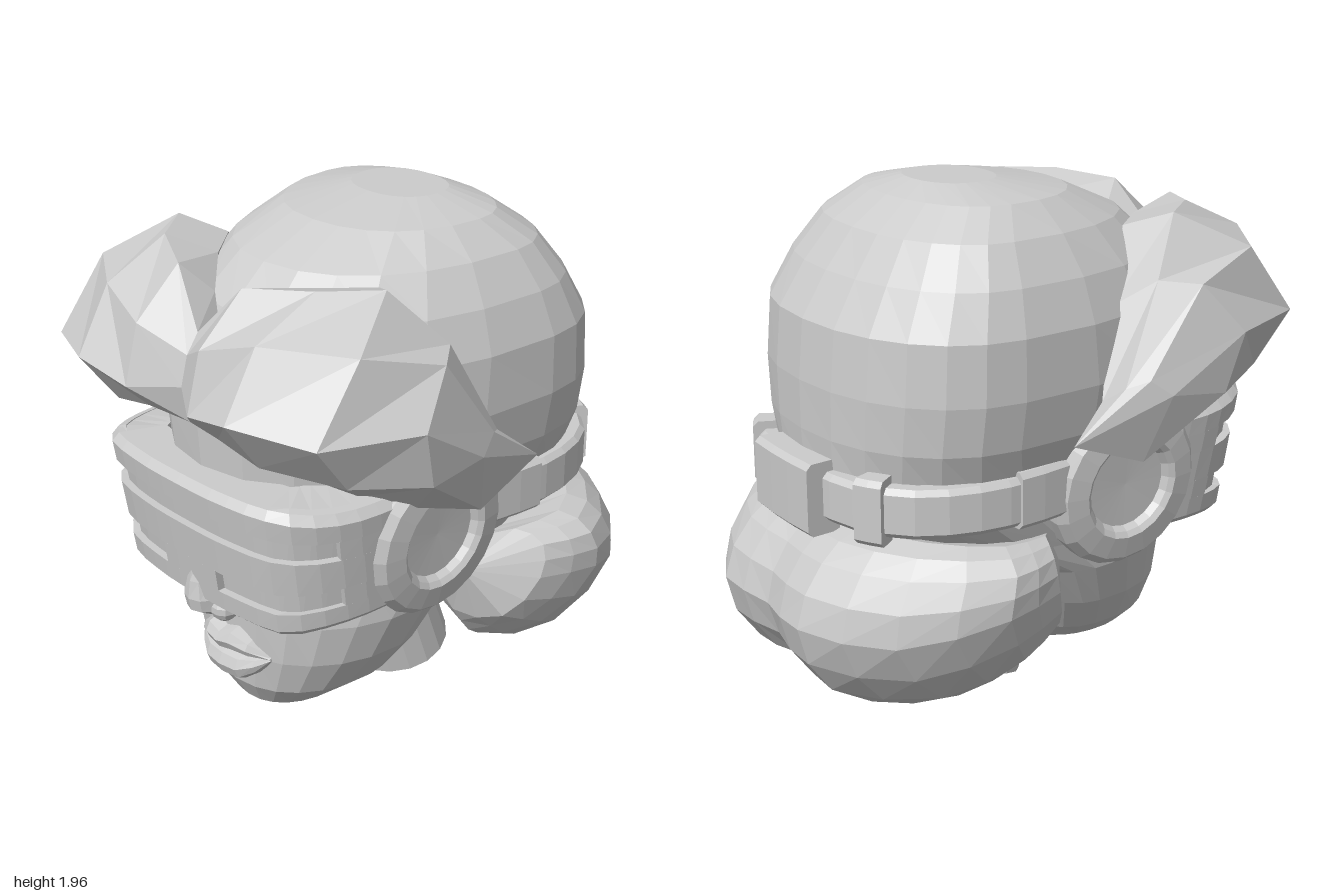
import * as THREE from 'three';

const V = (x, y, z) => new THREE.Vector3(x, y, z);
const mat = new THREE.MeshStandardMaterial({ color: 0xcccccc, flatShading: true });

// Skin a list of equal-length closed rings, cap both ends, and face it outwards
function loft(rings) {
  const n = rings[0].length, pos = [], idx = [];
  rings.forEach(r => r.forEach(p => pos.push(p.x, p.y, p.z)));
  for (let i = 0; i < rings.length - 1; i++) {
    for (let j = 0; j < n; j++) {
      const a = i * n + j, b = i * n + (j + 1) % n;
      idx.push(a, b, b + n, a, b + n, a + n);
    }
  }
  [0, rings.length - 1].forEach((r, end) => {
    const c = rings[r].reduce((s, p) => s.add(p), V(0, 0, 0)).divideScalar(n);
    const k = pos.length / 3;
    pos.push(c.x, c.y, c.z);
    for (let j = 0; j < n; j++) {
      const a = r * n + j, b = r * n + (j + 1) % n;
      end ? idx.push(a, b, k) : idx.push(b, a, k);
    }
  });
  const at = i => V(pos[3 * i], pos[3 * i + 1], pos[3 * i + 2]);
  let volume = 0;
  for (let i = 0; i < idx.length; i += 3) volume += at(idx[i]).dot(at(idx[i + 1]).cross(at(idx[i + 2])));
  if (volume < 0) idx.reverse();
  const g = new THREE.BufferGeometry();
  g.setAttribute('position', new THREE.Float32BufferAttribute(pos, 3));
  g.setIndex(idx);
  g.computeVertexNormals();
  return g;
}

// Horizontal egg-shaped ring with separate front and back reach
function headRing([y, zf, zb, hw, zc], n = 24) {
  const pow = v => Math.sign(v) * Math.abs(v) ** 0.9;
  return Array.from({ length: n }, (_, i) => {
    const a = i / n * Math.PI * 2, s = pow(Math.sin(a));
    return V(hw * pow(Math.cos(a)), y, zc + s * (s > 0 ? zf - zc : zc - zb));
  });
}

// Hair lobe: stations of six points each, ending in a tip; detail adds smoothed facets
function lobe(stations, tip, side, detail) {
  const smooth = (pts, closed, n) => new THREE.CatmullRomCurve3(pts, closed).getPoints(n);
  const rows = [0, 3, 6, 9, 12, 15].map(k =>
    smooth(stations.map(s => V(s[k] * side, s[k + 1], s[k + 2])), false, (stations.length - 1) * detail));
  const rings = rows[0].map((_, i) => smooth(rows.map(r => r[i]), true, 6 * detail).slice(0, -1));
  rings.push(rings[0].map(() => V(tip[0] * side, tip[1], tip[2])));
  return loft(rings);
}

// Upright band following a plan curve, from t0 to t1, with chamfered outer edges
function band(curve, t0, t1, y0, y1, out, inn, chTop, chBottom, warp = p => p) {
  const n = Math.max(2, Math.round((t1 - t0) * 22)), rings = [];
  const section = [[inn, y0], [out - chBottom, y0], [out, y0 + chBottom],
    [out, y1 - chTop], [out - chTop, y1], [inn, y1]];
  for (let i = 0; i <= n; i++) {
    const t = t0 + (t1 - t0) * i / n, p = curve.getPointAt(t), d = curve.getTangentAt(t);
    rings.push(section.map(([o, y]) => warp(V(p.x - d.z * o, y, p.z + d.x * o))));
  }
  return loft(rings);
}

// Plan curve that is symmetric about x = 0, given its half from the end to the middle
function planCurve(half, sign) {
  const a = half.map(([x, z]) => V(x * sign, 0, z));
  const b = half.slice(0, -1).reverse().map(([x, z]) => V(-x * sign, 0, z));
  return new THREE.CatmullRomCurve3([...a, ...b]);
}

export function createModel() {
  const model = new THREE.Group();
  const add = (name, geometry, parent = model) => {
    const m = new THREE.Mesh(geometry, mat);
    m.name = name;
    parent.add(m);
    return m;
  };
  const group = name => {
    const g = new THREE.Group();
    g.name = name;
    model.add(g);
    return g;
  };

  // Head: y, front z, back z, half width, z of widest point
  add('head', loft([
    [0.065, 0.55, 0.24, 0.07, 0.4], [0.1, 0.61, 0.13, 0.2, 0.36], [0.2, 0.67, 0.04, 0.33, 0.28],
    [0.35, 0.69, -0.02, 0.43, 0.22], [0.52, 0.7, -0.15, 0.49, 0.15], [0.66, 0.7, -0.55, 0.51, 0],
    [0.8, 0.72, -0.76, 0.54, -0.15], [0.95, 0.75, -0.8, 0.58, -0.25], [1.12, 0.79, -0.81, 0.64, -0.3],
    [1.3, 0.8, -0.81, 0.67, -0.3], [1.52, 0.73, -0.79, 0.665, -0.3], [1.68, 0.64, -0.69, 0.61, -0.28],
    [1.82, 0.48, -0.58, 0.52, -0.25], [1.92, 0.25, -0.44, 0.4, -0.18], [1.965, -0.02, -0.33, 0.19, -0.18],
  ].map(r => headRing(r))));

  // Neck, leaning forward
  const neck = add('neck', new THREE.CylinderGeometry(0.2, 0.215, 0.6, 18));
  neck.scale.x = 1.24;
  neck.position.set(0, 0.355, -0.035);
  neck.rotation.x = 0.33;

  // Front and back hair rolls, mirrored
  const frontHair = [
    [0, 1.46, 0.86, 0, 1.57, 0.83, 0, 1.64, 0.78, 0, 1.58, 0.68, 0, 1.31, 0.72, 0, 1.32, 0.83],
    [0.17, 1.44, 0.97, 0.17, 1.66, 0.91, 0.17, 1.83, 0.72, 0.1, 1.72, 0.62, 0.18, 1.29, 0.72, 0.19, 1.33, 0.86],
    [0.4, 1.49, 1.0, 0.4, 1.73, 0.86, 0.4, 1.85, 0.6, 0.25, 1.79, 0.48, 0.38, 1.18, 0.64, 0.39, 1.29, 0.85],
    [0.7, 1.46, 0.87, 0.69, 1.72, 0.67, 0.55, 1.85, 0.42, 0.4, 1.79, 0.31, 0.5, 1.1, 0.5, 0.68, 1.27, 0.72],
    [0.845, 1.46, 0.52, 0.78, 1.64, 0.37, 0.68, 1.65, 0.25, 0.57, 1.55, 0.13, 0.64, 1.06, 0.36, 0.82, 1.24, 0.46],
    [0.82, 1.27, 0.22, 0.79, 1.33, 0.14, 0.74, 1.3, 0.07, 0.66, 1.24, 0.03, 0.66, 1.02, 0.14, 0.75, 1.02, 0.15],
  ];
  const backHair = [
    [0, 0.48, -0.97, 0, 0.7, -0.88, 0, 0.8, -0.72, 0, 0.5, -0.4, 0, 0.14, -0.52, 0, 0.24, -0.84],
    [0.28, 0.49, -1.0, 0.27, 0.71, -0.89, 0.25, 0.8, -0.72, 0.2, 0.5, -0.28, 0.26, 0.1, -0.52, 0.28, 0.22, -0.87],
    [0.6, 0.48, -0.79, 0.58, 0.71, -0.72, 0.5, 0.8, -0.6, 0.26, 0.5, -0.18, 0.36, 0.15, -0.32, 0.54, 0.21, -0.57],
    [0.8, 0.58, -0.45, 0.79, 0.73, -0.42, 0.66, 0.79, -0.38, 0.34, 0.55, -0.06, 0.42, 0.25, -0.16, 0.67, 0.34, -0.3],
    [0.74, 0.6, -0.2, 0.73, 0.73, -0.22, 0.62, 0.77, -0.18, 0.4, 0.62, 0, 0.42, 0.38, -0.07, 0.63, 0.42, -0.12],
  ];
  for (const side of [1, -1]) {
    const label = side > 0 ? 'Left' : 'Right';
    add('frontHair' + label, lobe(frontHair, [0.74, 1.13, -0.15], side, 1));
    add('backHair' + label, lobe(backHair, [0.5, 0.6, -0.03], side, 2));
  }

  // Visor: bars around the slots, a recessed panel, and rims reaching in to the face
  const visor = group('visor');
  const visorPlan = planCurve([[0.585, 0.38], [0.575, 0.55], [0.53, 0.7], [0.44, 0.81], [0.24, 0.855], [0, 0.865]], -1);
  const tilt = p => {
    const h = p.y - 0.88, pinch = 1 - Math.max(0, Math.abs(p.x) - 0.44) * 1.1;
    return V(p.x * (1 + h * 0.1), 0.88 + h * pinch, p.z + h * 0.14);
  };
  const bar = (name, t0, t1, y0, y1, cT = 0, cB = 0) =>
    add(name, band(visorPlan, t0, t1, y0, y1, 0.01, -0.05, cT, cB, tilt), visor);
  bar('topBar', 0, 1, 1.03, 1.14, 0.03, 0);
  bar('middleBar', 0, 1, 0.8, 0.94);
  bar('bottomBar', 0, 1, 0.62, 0.715, 0, 0.02);
  bar('lowerBridge', 0.42, 0.58, 0.715, 0.8);
  for (const [t0, t1] of [[0, 0.14], [0.86, 1]]) {
    bar('upperSlotEnd', t0, t1, 0.94, 1.03);
    bar('lowerSlotEnd', t0, t1, 0.715, 0.8);
  }
  add('recessedPanel', band(visorPlan, 0, 1, 0.65, 1.1, -0.02, -0.045, 0, 0, tilt), visor);
  add('upperRim', band(visorPlan, 0, 1, 1.06, 1.14, -0.03, -0.2, 0, 0, tilt), visor);
  add('lowerRim', band(visorPlan, 0, 1, 0.625, 0.7, -0.03, -0.2, 0, 0, tilt), visor);

  // Round ear covers with a dished centre
  const profile = [[0, -0.09], [0.3, -0.09], [0.315, -0.07], [0.315, 0.03], [0.285, 0.062],
    [0.2, 0.075], [0.18, 0.06], [0.165, 0.035], [0, 0.03]].map(p => new THREE.Vector2(...p));
  for (const side of [1, -1]) {
    const ear = add(side > 0 ? 'earCoverLeft' : 'earCoverRight', new THREE.LatheGeometry(profile, 20));
    ear.rotation.z = -side * (Math.PI / 2 + 0.08);
    ear.position.set(side * 0.56, 0.88, 0.2);
  }

  // Strap round the back of the head, with clips and a rear buckle
  const strap = group('strap');
  const strapPlan = planCurve([[0.57, 0], [0.61, -0.27], [0.6, -0.45], [0.52, -0.65], [0.34, -0.78], [0, -0.82]], 1);
  const piece = (name, t0, t1, y0, y1, out) =>
    add(name, band(strapPlan, t0, t1, y0, y1, out, -0.05, 0.02, 0.02), strap);
  piece('strapBand', 0, 1, 0.83, 1.01, 0.02);
  for (const m of [t => [t[0], t[1]], t => [1 - t[1], 1 - t[0]]]) {
    piece('strapEnd', ...m([0, 0.12]), 0.82, 1.03, 0.03);
    piece('strapClip', ...m([0.315, 0.355]), 0.8, 1.04, 0.045);
  }
  piece('rearBuckle', 0.425, 0.575, 0.78, 1.05, 0.085);

  // Nose
  const nose = group('nose');
  add('noseBridge', loft([[0.77, 0.85, 0.7, 0.025, 0.75], [0.7, 0.865, 0.65, 0.06, 0.75],
    [0.63, 0.875, 0.6, 0.085, 0.74], [0.58, 0.865, 0.6, 0.08, 0.74], [0.54, 0.8, 0.6, 0.04, 0.72],
  ].map(r => headRing(r, 12))), nose);
  for (const side of [1, -1]) {
    const nostril = add('nostril', new THREE.SphereGeometry(0.055, 10, 7), nose);
    nostril.position.set(side * 0.076, 0.59, 0.77);
  }

  // Lips: half stations of x, centre y, centre z, half height, depth
  const lip = half => loft([...half.slice(1).reverse().map(([x, ...r]) => [-x, ...r]), ...half]
    .map(([x, y, z, ry, rz]) => Array.from({ length: 8 }, (_, i) => {
      const a = i / 8 * Math.PI * 2;
      return V(x, y + ry * Math.sin(a), z + rz * Math.cos(a));
    })));
  add('upperLip', lip([[0, 0.405, 0.7, 0.045, 0.06], [0.06, 0.418, 0.695, 0.05, 0.06],
    [0.12, 0.392, 0.675, 0.035, 0.045], [0.19, 0.362, 0.64, 0.006, 0.02]]));
  add('lowerLip', lip([[0, 0.3, 0.69, 0.058, 0.06], [0.08, 0.302, 0.685, 0.056, 0.055],
    [0.14, 0.325, 0.665, 0.035, 0.04], [0.19, 0.355, 0.64, 0.006, 0.02]]));

  return model;
}
